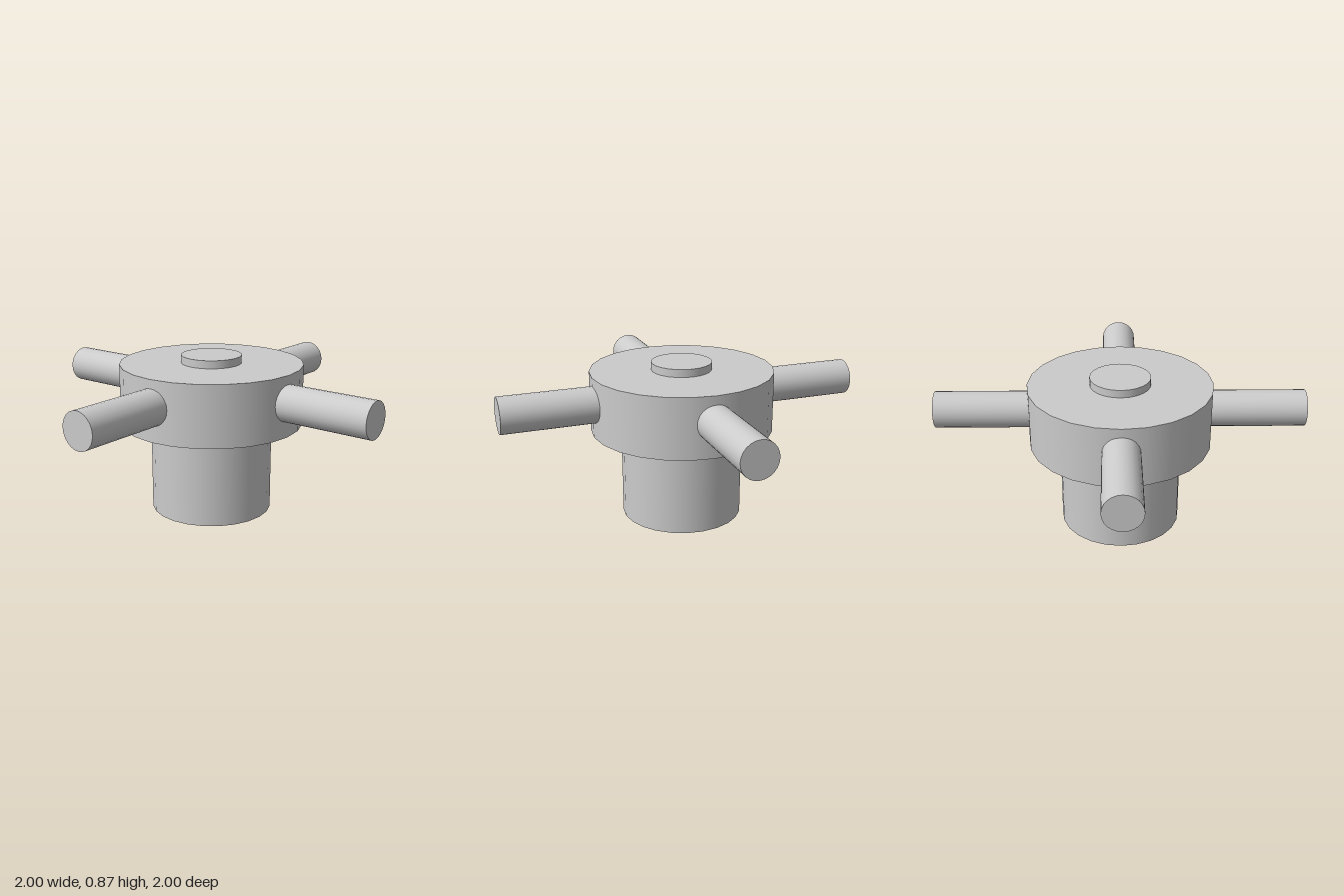
import * as THREE from 'three';

export function createModel() {
  const group = new THREE.Group();
  const material = new THREE.MeshStandardMaterial({ color: 0xcccccc });
  const SIDES = 24;

  // Upright cylinder spanning y0..y1
  function upright(name, radius, y0, y1) {
    const mesh = new THREE.Mesh(new THREE.CylinderGeometry(radius, radius, y1 - y0, SIDES), material);
    mesh.name = name;
    mesh.position.y = (y0 + y1) / 2;
    group.add(mesh);
  }

  upright('base', 0.333, 0, 0.492);
  upright('hub', 0.5, 0.492, 0.824);
  upright('topCap', 0.165, 0.824, 0.867);

  // Four spokes radiating from inside the hub
  const inner = 0.4, outer = 1;
  const spokeGeometry = new THREE.CylinderGeometry(0.099, 0.099, outer - inner, SIDES)
    .rotateX(Math.PI / 2)
    .translate(0, 0, (inner + outer) / 2);
  ['frontSpoke', 'leftSpoke', 'backSpoke', 'rightSpoke'].forEach((name, i) => {
    const spoke = new THREE.Mesh(spokeGeometry, material);
    spoke.name = name;
    spoke.position.y = 0.677;
    spoke.rotation.y = i * Math.PI / 2;
    group.add(spoke);
  });

  return group;
}
